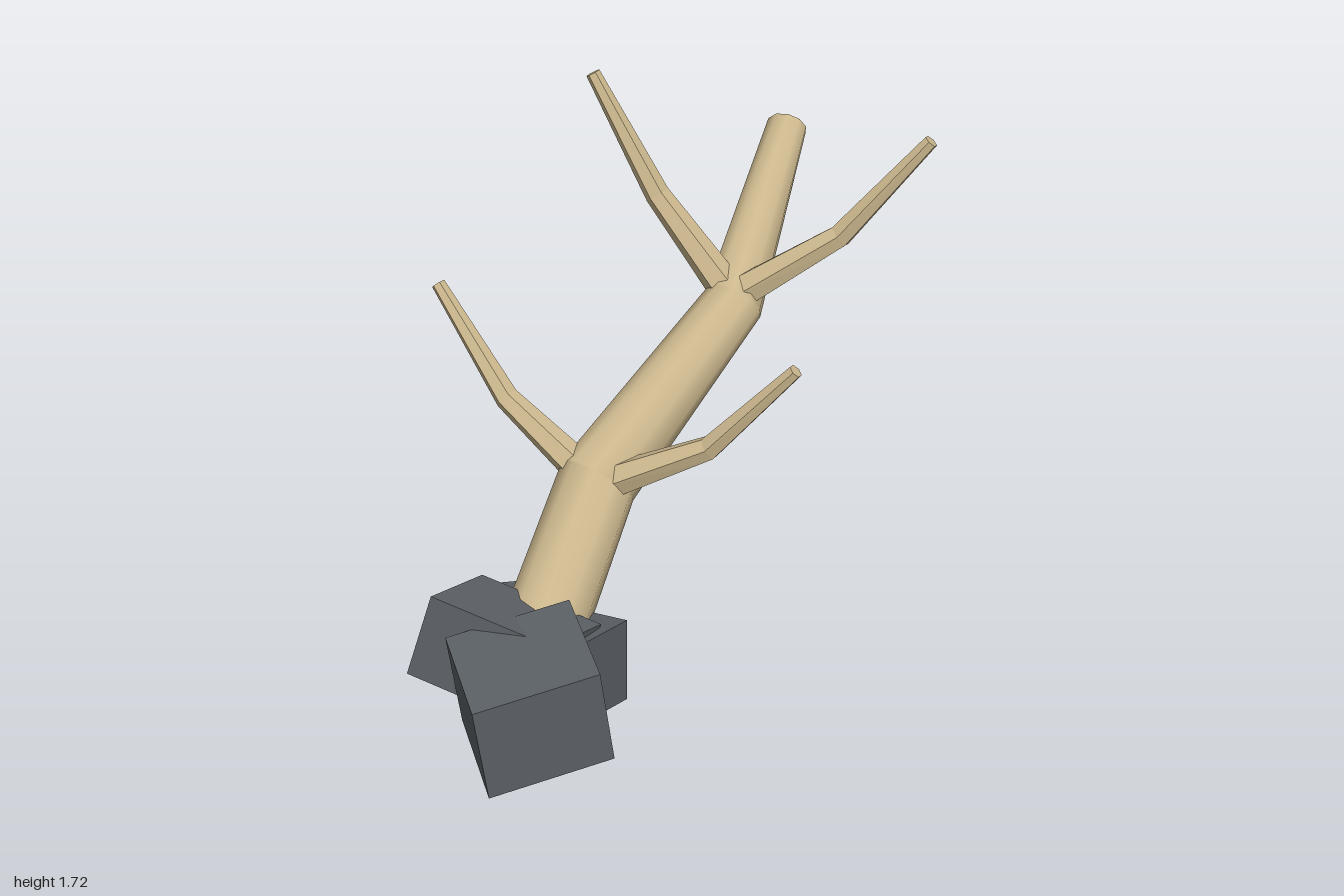
import * as THREE from 'three';

const V = (p) => new THREE.Vector3(...p);

// Tapered limb: one cylinder per span, with its end rings mitred at the joints
function limb(name, points, radii, sides, ref, material, flat) {
  const group = new THREE.Group();
  group.name = name;
  const pts = points.map(V);
  const rings = pts.map((p, i) => {
    const t = new THREE.Vector3();
    if (i > 0) t.add(p.clone().sub(pts[i - 1]).normalize());
    if (i < pts.length - 1) t.add(pts[i + 1].clone().sub(p).normalize());
    t.normalize();
    const u = V(ref).cross(t).normalize();
    return { p, u, v: u.clone().cross(t), r: radii[i] };
  });
  for (let i = 0; i < pts.length - 1; i++) {
    let geo = new THREE.CylinderGeometry(1, 1, 1, sides);
    const pos = geo.attributes.position;
    for (let k = 0; k < pos.count; k++) {
      const ring = rings[pos.getY(k) > 0 ? i + 1 : i];
      const q = ring.p.clone()
        .addScaledVector(ring.u, pos.getX(k) * ring.r)
        .addScaledVector(ring.v, pos.getZ(k) * ring.r);
      pos.setXYZ(k, q.x, q.y, q.z);
    }
    if (flat) geo = geo.toNonIndexed();
    geo.computeVertexNormals();
    const mesh = new THREE.Mesh(geo, material);
    mesh.name = `${name}Span${i + 1}`;
    group.add(mesh);
  }
  return group;
}

// Skewed block given by one corner and its three neighbouring corners
function block(name, corner, a, b, c, material) {
  const o = V(corner);
  let [ea, eb, ec] = [a, b, c].map((p) => V(p).sub(o));
  if (ea.clone().cross(eb).dot(ec) < 0) [ea, eb] = [eb, ea];
  let geo = new THREE.BoxGeometry(1, 1, 1);
  geo.translate(0.5, 0.5, 0.5);
  geo.applyMatrix4(new THREE.Matrix4().makeBasis(ea, eb, ec).setPosition(o));
  geo = geo.toNonIndexed();
  geo.computeVertexNormals();
  const mesh = new THREE.Mesh(geo, material);
  mesh.name = name;
  return mesh;
}

export function createModel() {
  const wood = new THREE.MeshStandardMaterial({ color: 0xcbb78d });
  wood.name = 'pale wood';
  const stone = new THREE.MeshStandardMaterial({ color: 0x5b6065 });
  stone.name = 'dark stone';

  const model = new THREE.Group();
  model.name = 'leaningTree';

  // Leaning trunk
  model.add(limb('trunk',
    [[0.05, 0.1, 0.68], [-0.02, 0.64, 0.12], [0.12, 1.06, -0.4], [-0.05, 1.4, -0.965]],
    [0.13, 0.122, 0.092, 0.064], 10, [1, 0, 0], wood, false));

  // Bent branches, in two pairs: root, knee, tip
  const branches = {
    lowerRightBranch: [[-0.03, 0.66, 0.15], [-0.36, 0.81, 0.11], [-0.63, 1.11, 0.085]],
    lowerLeftBranch: [[0.03, 0.66, 0.14], [0.32, 0.82, 0.04], [0.56, 1.11, -0.035]],
    upperRightBranch: [[0.1, 1.09, -0.4], [-0.14, 1.36, -0.37], [-0.35, 1.715, -0.335]],
    upperLeftBranch: [[0.12, 1.08, -0.4], [0.4, 1.3, -0.54], [0.63, 1.62, -0.645]],
  };
  for (const [name, pts] of Object.entries(branches)) {
    model.add(limb(name, pts, [0.055, 0.038, 0.022], 6, [0, 0, 1], wood, true));
  }

  // Rocks around the foot
  model.add(
    block('frontRock', [0.17, 0.37, 1.0], [0.4, 0.43, 0.71], [-0.1, 0.4, 0.77], [0.19, 0.07, 0.96], stone),
    block('tiltedRock', [-0.18, 0.49, 0.73], [0.19, 0.41, 0.65], [-0.24, 0.23, 0.78], [-0.17, 0.45, 0.5], stone),
    block('rightRock', [-0.31, 0.33, 0.44], [-0.12, 0.35, 0.3], [-0.18, 0.35, 0.63], [-0.22, 0.04, 0.5], stone),
    block('backRock', [0.25, 0.37, 0.36], [0.2, 0.36, 0.57], [0.06, 0.33, 0.34], [0.23, 0.07, 0.33], stone),
  );
  return model;
}
